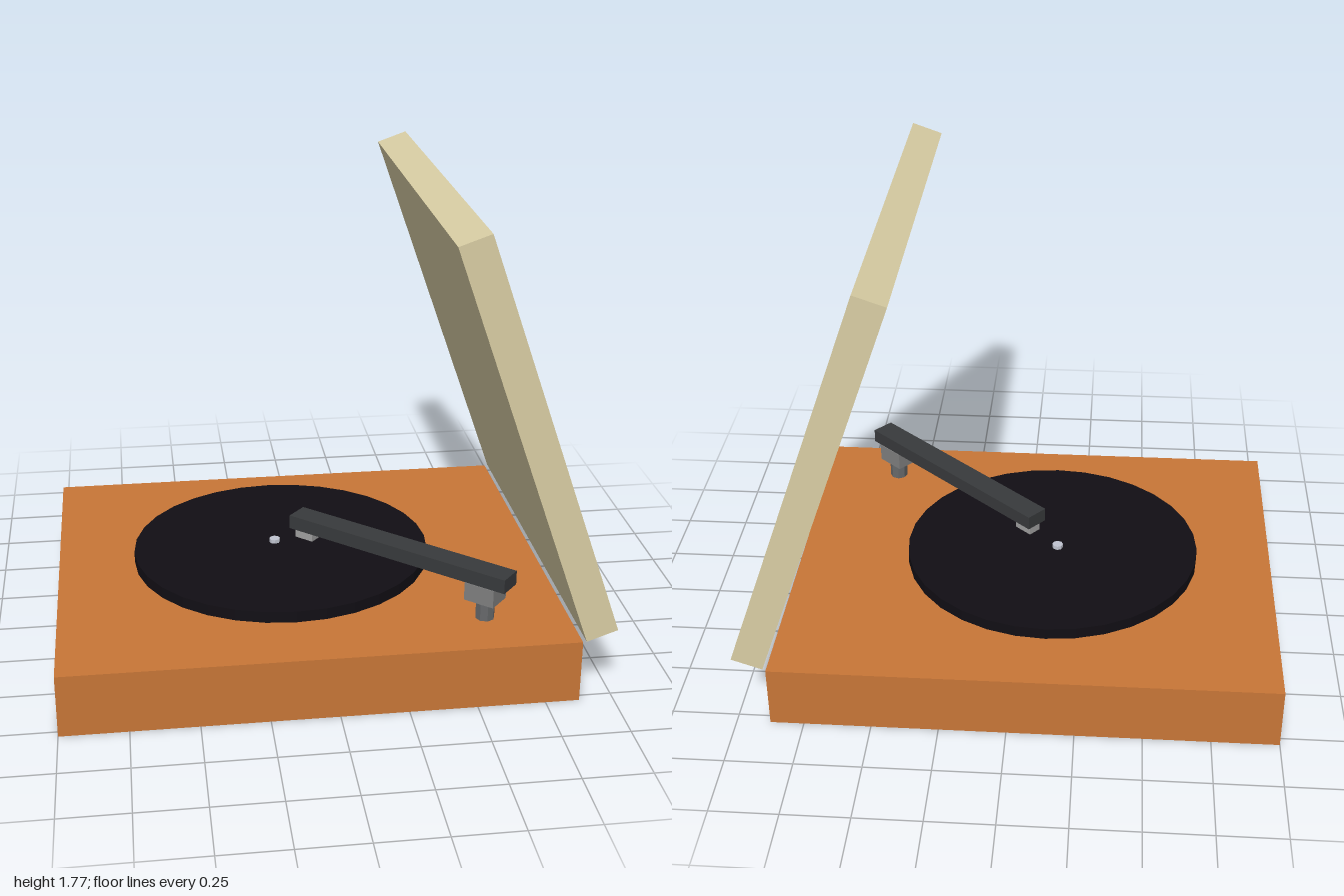
import * as THREE from 'three';

function addMesh(parent, name, geometry, color, x, y, z) {
  const material = new THREE.MeshStandardMaterial({ color, flatShading: true });
  const mesh = new THREE.Mesh(geometry, material);
  mesh.name = name;
  mesh.position.set(x, y, z);
  parent.add(mesh);
  return mesh;
}

export function createModel() {
  const model = new THREE.Group();
  model.name = 'recordPlayer';

  // Wooden case
  addMesh(model, 'case', new THREE.BoxGeometry(1.875, 0.24, 1.565), 0xc87637, -0.0625, 0.12, -0.0025);

  // Open lid, hinged on the right and leaning back over the case
  const lid = addMesh(model, 'lid', new THREE.BoxGeometry(0.12, 1.57, 1.565), 0xd9cea4, 0.6825, 1.005, 0.0025);
  lid.rotation.z = 0.338;

  // Record, slightly oval, hovering just above the case
  const record = addMesh(model, 'record', new THREE.CylinderGeometry(0.575, 0.575, 0.044, 32), 0x110e14, -0.13, 0.283, -0.005);
  record.scale.z = 0.957;

  // Spindle through the record
  addMesh(model, 'spindle', new THREE.CylinderGeometry(0.021, 0.021, 0.06, 8), 0xc0c4d0, -0.152, 0.29, -0.025);

  // Tonearm: its local x runs from the needle head to the pivot
  const tonearm = new THREE.Group();
  tonearm.name = 'tonearm';
  tonearm.position.set(0.285, 0, 0.315);
  tonearm.rotation.y = -0.727;
  model.add(tonearm);
  addMesh(tonearm, 'armBar', new THREE.BoxGeometry(0.944, 0.055, 0.092), 0x383a3c, 0, 0.4175, 0);
  addMesh(tonearm, 'needleHead', new THREE.BoxGeometry(0.08, 0.042, 0.053), 0xa0a0a0, -0.419, 0.37, 0);
  addMesh(tonearm, 'pivotBlock', new THREE.BoxGeometry(0.12, 0.07, 0.098), 0x808080, 0.371, 0.355, 0);
  addMesh(tonearm, 'pivotPost', new THREE.CylinderGeometry(0.036, 0.036, 0.065, 8), 0x66686a, 0.374, 0.2775, 0);

  return model;
}
